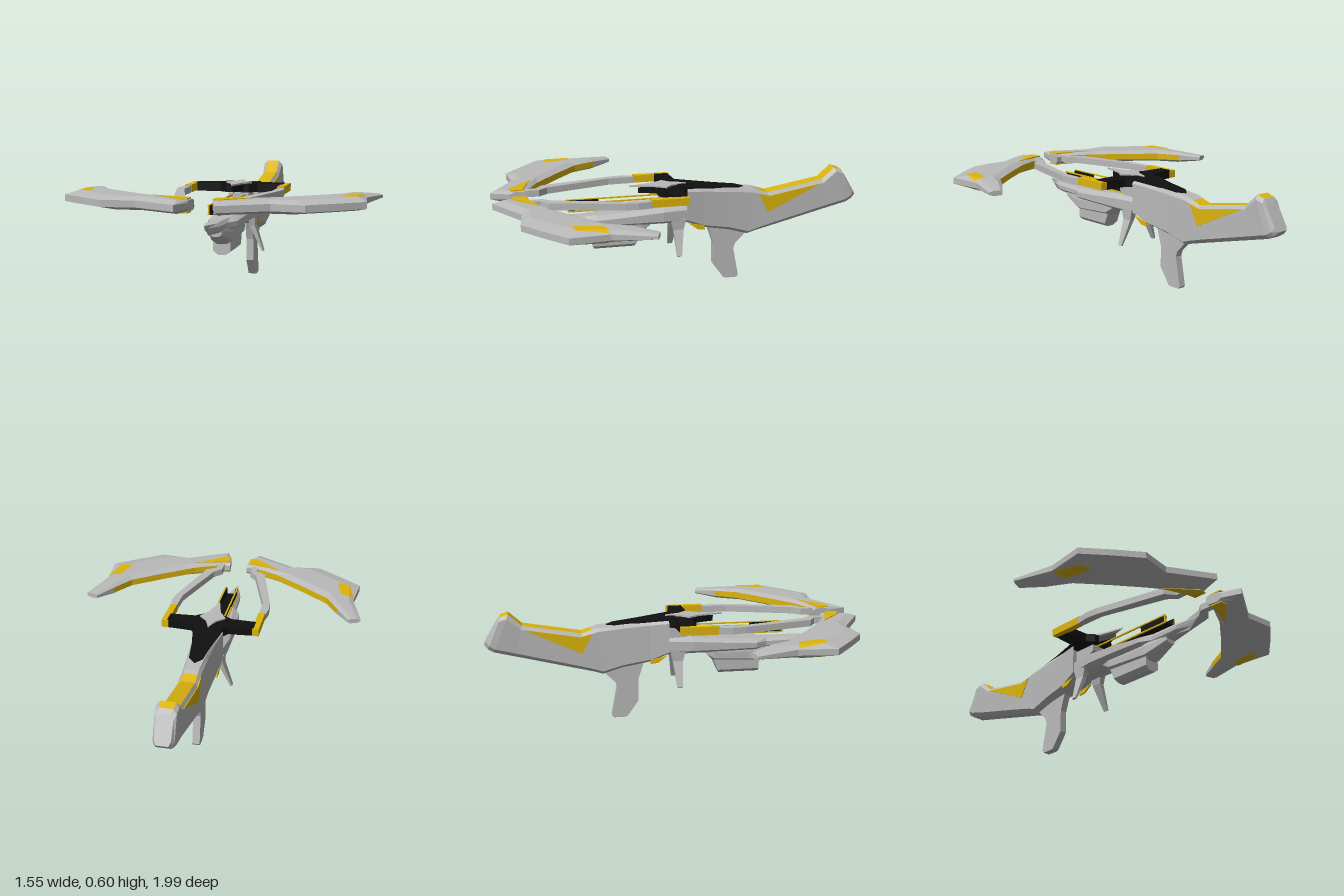
import * as THREE from 'three';

const paint = (name, color) => Object.assign(new THREE.MeshStandardMaterial({ color }), { name });

export function createModel() {
  const silver = paint('silver', 0xb9b9b9);
  const yellow = paint('yellow', 0xdcb40c);
  const black = paint('black', 0x101010);
  const model = new THREE.Group();

  const add = (name, geo, mat, parent = model) => {
    const mesh = new THREE.Mesh(geo, mat);
    mesh.name = name;
    parent.add(mesh);
    return mesh;
  };

  // Flat-shaded skin over rings of points; accent(i, j) marks yellow faces
  function loft(name, rings, parent = model, accent = () => false) {
    const sets = [[], []];
    const n = rings[0].length;
    rings.slice(1).forEach((b, i) => {
      const a = rings[i];
      for (let j = 0; j < n; j++) {
        const k = (j + 1) % n;
        sets[accent(i, j) ? 1 : 0].push([a[j], b[j], b[k]], [a[j], b[k], a[k]]);
      }
    });
    const last = rings[rings.length - 1];
    for (let j = 1; j < n - 1; j++) {
      sets[0].push([rings[0][0], rings[0][j], rings[0][j + 1]], [last[0], last[j + 1], last[j]]);
    }
    // Signed volume tells whether the skin is inside out
    const vol = sets.flat().reduce((s, t) => {
      const [a, b, c] = t.map(p => new THREE.Vector3(...p));
      return s + a.dot(b.cross(c));
    }, 0);
    const tris = sets.map(s => (vol < 0 ? s.map(([a, b, c]) => [a, c, b]) : s));
    const geo = new THREE.BufferGeometry();
    geo.setAttribute('position', new THREE.Float32BufferAttribute(tris.flat(3), 3));
    geo.addGroup(0, tris[0].length * 3, 0);
    geo.addGroup(tris[0].length * 3, tris[1].length * 3, 1);
    geo.computeVertexNormals();
    return add(name, geo, [silver, yellow], parent);
  }

  // Bevelled eight-sided section, symmetric in x
  function section([zT, yT, zB, yB, w, t, b]) {
    const d = Math.min(0.02, (yT - yB) * 0.3);
    const half = [[t, yT], [w, yT - d], [w, yB + d], [b, yB]];
    return [...half, ...half.slice().reverse().map(([x, y]) => [-x, y])]
      .map(([x, y]) => [x, y, zB + (zT - zB) * (y - yB) / (yT - yB)]);
  }

  const extrude = (pts, depth) => new THREE.ExtrudeGeometry(
    new THREE.Shape(pts.map(p => new THREE.Vector2(...p))), { depth, bevelEnabled: false });
  // Plan outline (x, z) hanging down from y
  const slab = (name, pts, y, depth, mat, parent) =>
    add(name, extrude(pts, depth).rotateX(Math.PI / 2).translate(0, y, 0), mat, parent);
  // Side outline (z, y) centred on x
  const profile = (name, pts, x, width, mat, parent) =>
    add(name, extrude(pts, width).translate(0, 0, -width / 2).rotateY(-Math.PI / 2).translate(x, 0, 0), mat, parent);
  const mirrored = half => [...half, ...half.slice().reverse().filter(p => p[0] > 0).map(([x, z]) => [-x, z])];
  const box = (name, w, h, d, x, y, z, mat, parent) =>
    add(name, new THREE.BoxGeometry(w, h, d).translate(x, y, z), mat, parent);

  // Body and shoulder stock, yellow along the top
  loft('stock', [
    [-0.03, 0.547, -0.03, 0.35, 0.08, 0.06, 0.04],
    [-0.13, 0.538, -0.13, 0.31, 0.065, 0.05, 0.03],
    [-0.27, 0.525, -0.27, 0.285, 0.055, 0.045, 0.025],
    [-0.41, 0.51, -0.38, 0.252, 0.05, 0.036, 0.022],
    [-0.44, 0.5, -0.43, 0.268, 0.05, 0.036, 0.024],
    [-0.49, 0.483, -0.535, 0.295, 0.05, 0.036, 0.028],
    [-0.8, 0.537, -0.84, 0.372, 0.05, 0.036, 0.032],
    [-0.87, 0.6, -0.95, 0.4, 0.055, 0.036, 0.036],
    [-0.91, 0.587, -0.98, 0.418, 0.052, 0.034, 0.036],
    [-0.925, 0.565, -1, 0.44, 0.04, 0.025, 0.03],
  ].map(section), model, (i, j) => j === 7 && i >= 4 && i <= 7);

  profile('grip', [[-0.155, 0.32], [-0.19, 0.21], [-0.19, 0.09], [-0.25, 0.005], [-0.265, 0],
    [-0.325, 0], [-0.335, 0.012], [-0.305, 0.17], [-0.315, 0.2], [-0.37, 0.255], [-0.36, 0.32]], 0, 0.04, silver);

  // Barrel, keel and lower block
  loft('barrel', [
    [-0.06, 0.445, -0.06, 0.35, 0.07, 0.05, 0.05],
    [0.1, 0.445, 0.1, 0.355, 0.09, 0.06, 0.055],
    [0.3, 0.43, 0.3, 0.355, 0.085, 0.055, 0.05],
    [0.45, 0.42, 0.45, 0.355, 0.075, 0.04, 0.045],
    [0.51, 0.417, 0.51, 0.358, 0.042, 0.028, 0.03],
    [0.69, 0.418, 0.65, 0.365, 0.038, 0.026, 0.02],
    [0.785, 0.42, 0.73, 0.367, 0.004, 0.003, 0.003],
  ].map(section));
  loft('keel', [
    [0.15, 0.37, 0.18, 0.34, 0.05, 0.05, 0.03],
    [0.22, 0.37, 0.22, 0.3, 0.06, 0.06, 0.03],
    [0.47, 0.37, 0.47, 0.285, 0.055, 0.05, 0.025],
    [0.6, 0.37, 0.6, 0.34, 0.03, 0.03, 0.015],
  ].map(section));
  loft('lowerBlock', [
    [0.2, 0.35, 0.25, 0.23, 0.045, 0.045, 0.02],
    [0.47, 0.35, 0.47, 0.23, 0.045, 0.045, 0.02],
  ].map(section));

  // Black top: rear spear, cross arms and the wedge under the star
  const spear = slab('topSpear', mirrored([[0, -0.36], [0.036, -0.32], [0.05, -0.2], [0.075, -0.07], [0.09, 0.01]]), 0, 0.008, black);
  spear.position.y = 0.556;
  spear.rotation.x = -0.097;
  slab('crossArms', mirrored([[0, -0.03], [0.08, -0.03], [0.1, 0], [0.235, 0.01], [0.235, 0.085],
    [0.1, 0.09], [0.06, 0.12], [0, 0.12]]), 0.552, 0.045, black);
  slab('frontWedge', mirrored([[0, 0.08], [0.045, 0.08], [0, 0.22]]), 0.546, 0.03, black);
  slab('starPlate', mirrored([[0, -0.04], [0.03, 0.04], [0.07, 0.08], [0.032, 0.14], [0, 0.27]]), 0.56, 0.008, silver);

  // Rail channel above the barrel
  box('channelFloor', 0.056, 0.008, 0.5, 0, 0.45, 0.35, black);
  profile('neck', [[0.1, 0.5], [-0.06, 0.5], [-0.06, 0.4], [0, 0.41], [0.1, 0.465]], 0, 0.11, silver);

  // Everything that comes in pairs; the second side is a mirror image
  for (const [side, sign] of [['left', 1], ['right', -1]]) {
    const half = new THREE.Group();
    half.name = side + 'Side';
    half.scale.x = sign;
    model.add(half);

    // Painted side panels
    profile('stockPanel', [[-0.435, 0.482], [-0.49, 0.375], [-0.79, 0.517], [-0.5, 0.466]], 0.0505, 0.006, yellow, half);
    profile('chinPanel', [[-0.04, 0.348], [-0.09, 0.312], [-0.13, 0.308], [-0.125, 0.33]], 0.066, 0.009, yellow, half);

    // Channel walls with yellow trim
    box('channelWall', 0.008, 0.04, 0.17, 0.03, 0.47, 0.515, black, half);
    box('upperTrim', 0.008, 0.007, 0.5, 0.034, 0.491, 0.35, yellow, half);
    box('lowerTrim', 0.008, 0.007, 0.5, 0.034, 0.449, 0.35, yellow, half);
    box('frontTrim', 0.008, 0.04, 0.008, 0.033, 0.47, 0.598, yellow, half);

    // Splayed fin beneath the body
    loft('fin', [
      [[0.035, 0.38, -0.025], [0.035, 0.38, 0.06], [0.08, 0.38, 0.06], [0.08, 0.38, -0.025]],
      [[0.05, 0.32, -0.01], [0.05, 0.32, 0.045], [0.078, 0.32, 0.045], [0.078, 0.32, -0.01]],
      [[0.115, 0.18, 0.01], [0.115, 0.18, 0.036], [0.124, 0.185, 0.036], [0.124, 0.185, 0.01]],
    ], half);

    // Arm end and the cranked rod leading to the wing
    box('armEnd', 0.036, 0.04, 0.2, 0.246, 0.53, 0.103, yellow, half);
    slab('rod', [[0.265, 0.2], [0.275, 0.27], [0.268, 0.34], [0.175, 0.715], [0.122, 0.75], [0.122, 0.83],
      [0.085, 0.83], [0.085, 0.735], [0.125, 0.69], [0.228, 0.34], [0.232, 0.2]], 0.543, 0.035, silver, half);

    // Wing: inner x z, outer x z, thickness factor
    const mid = 0.5225;
    const wing = [
      [0.05, 0.8, 0.06, 0.89, 0.8], [0.1, 0.8, 0.095, 0.99, 0.95], [0.245, 0.73, 0.32, 0.86, 1],
      [0.285, 0.7, 0.48, 0.88, 1], [0.42, 0.6, 0.61, 0.785, 1], [0.57, 0.48, 0.735, 0.685, 1],
      [0.64, 0.36, 0.715, 0.49, 0.9], [0.71, 0.255, 0.775, 0.28, 0.4],
    ].map(([ix, iz, ox, oz, k]) => [
      [0, 0.0175], [0.15, 0.0325], [0.7, 0.0325], [1, 0.0165],
      [1, -0.0165], [0.7, -0.0325], [0.15, -0.0325], [0, -0.0175],
    ].map(([f, y]) => [ix + (ox - ix) * f, mid + y * k, iz + (oz - iz) * f]));
    loft('wing', wing, half, (i, j) => j === 7 && i >= 1 && i <= 5);

    // Painted wing patches, above and below
    for (const flip of [1, -1]) {
      const face = new THREE.Group();
      face.name = flip > 0 ? 'upperPatches' : 'lowerPatches';
      face.scale.y = flip;
      face.position.y = mid;
      half.add(face);
      slab('rootPatch', [[0.25, 0.765], [0.1, 0.815], [0.06, 0.82], [0.06, 0.885], [0.1, 0.89]], 0.035, 0.006, yellow, face);
      const top = 0.035;
      const A = [0.645, top, 0.51], B = [0.61, top, 0.655], C = [0.68, top, 0.645];
      const D = [0.716, 0.022, 0.495], E = [0.688, top, 0.5];
      const geo = new THREE.BufferGeometry();
      geo.setAttribute('position', new THREE.Float32BufferAttribute([A, B, C, A, C, E, E, C, D].flat(), 3));
      geo.computeVertexNormals();
      add('tipPatch', geo, yellow, face);
    }
  }
  return model;
}
